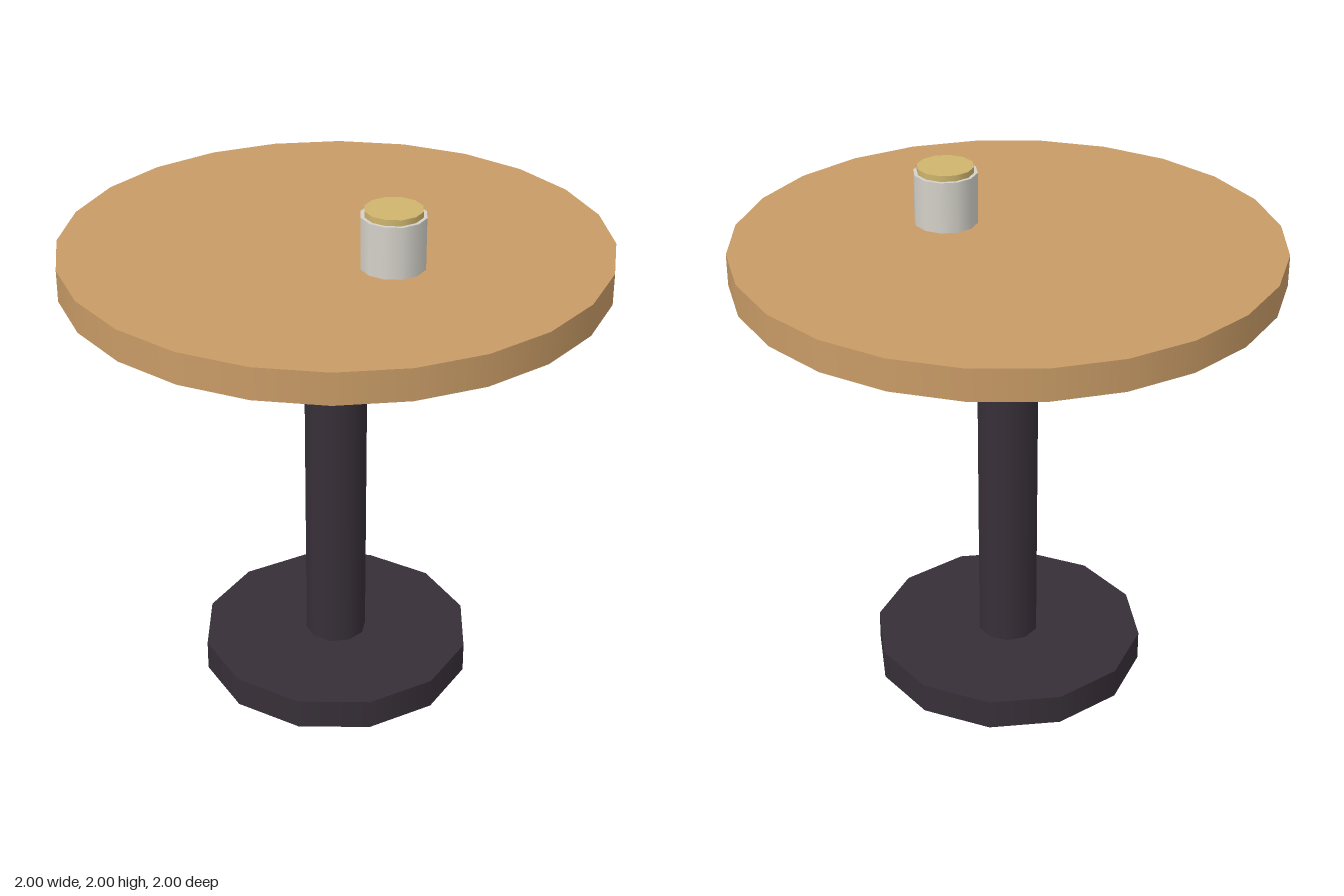
import * as THREE from 'three';

export function createModel() {
  const group = new THREE.Group();
  const material = (name, color) => {
    const m = new THREE.MeshStandardMaterial({ color });
    m.name = name;
    return m;
  };
  const darkMetal = material('dark metal', 0x372f38);
  const wood = material('warm wood', 0xc89b66);
  const ceramic = material('pale ceramic', 0xd4d1c9);
  const drinkTone = material('golden drink', 0xcfb56d);

  // Upright cylinder spanning two heights
  const disc = (name, radius, bottom, top, sides, mat, x = 0) => {
    const mesh = new THREE.Mesh(
      new THREE.CylinderGeometry(radius, radius, top - bottom, sides), mat);
    mesh.name = name;
    mesh.position.set(x, (bottom + top) / 2, 0);
    group.add(mesh);
  };

  // Pedestal table
  disc('base', 0.523, 0, 0.118, 12, darkMetal);
  disc('column', 0.118, 0.118, 1.67, 10, darkMetal);
  disc('tableTop', 1, 1.667, 1.785, 24, wood);

  // Cup standing off centre, with its filling just above the rim
  const cupX = 0.285;
  disc('cup', 0.118, 1.785, 1.978, 12, ceramic, cupX);
  disc('cupFilling', 0.105, 1.95, 2, 12, drinkTone, cupX);

  return group;
}
